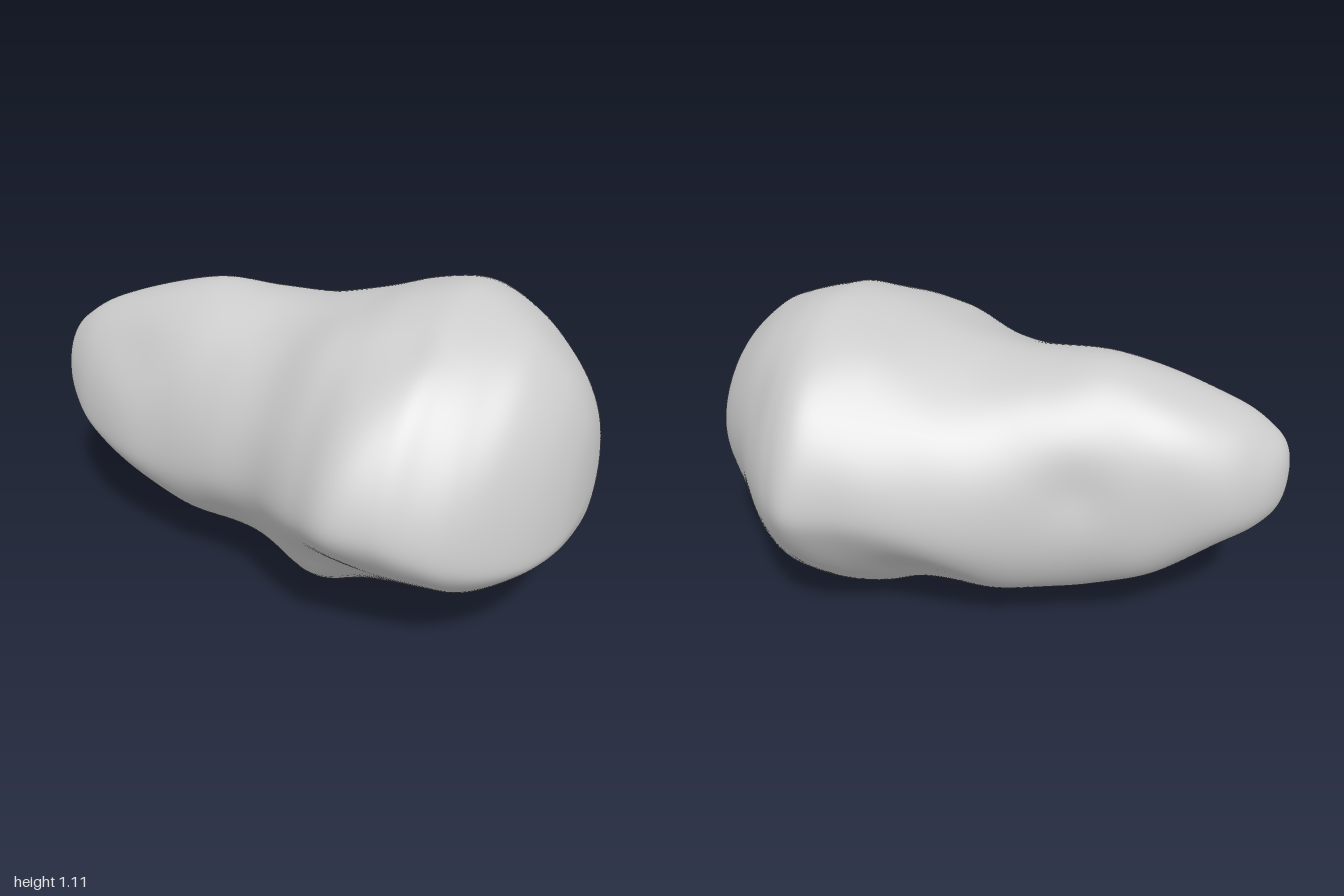
import * as THREE from 'three';

const { lerp, smoothstep } = THREE.MathUtils;

// Cross-sections along the long axis:
// x, top y, bottom y, front z, back z, z of crest, z of keel, y of front ridge
const STATIONS = [
  [-1.0, 0.63, 0.63, 0, 0, 0, 0, 0.63],
  [-0.98, 0.735, 0.52, 0.09, -0.095, 0, 0, 0.59],
  [-0.91, 0.805, 0.44, 0.165, -0.185, 0, 0, 0.52],
  [-0.8, 0.872, 0.37, 0.24, -0.263, -0.01, 0, 0.47],
  [-0.6, 0.955, 0.225, 0.323, -0.34, -0.03, 0, 0.45],
  [-0.4, 0.998, 0.148, 0.373, -0.38, -0.05, 0, 0.45],
  [-0.2, 0.99, 0.108, 0.42, -0.455, -0.05, 0, 0.47],
  [0.0, 0.998, 0.06, 0.475, -0.545, -0.04, -0.02, 0.5],
  [0.2, 1.045, 0.04, 0.605, -0.605, -0.03, -0.06, 0.53],
  [0.35, 1.095, 0.008, 0.685, -0.65, -0.03, -0.13, 0.55],
  [0.5, 1.125, 0.0, 0.665, -0.695, -0.03, -0.15, 0.54],
  [0.6, 1.11, 0.03, 0.625, -0.64, -0.04, -0.15, 0.5],
  [0.7, 1.07, 0.085, 0.58, -0.535, -0.02, -0.13, 0.46],
  [0.8, 1.015, 0.185, 0.5, -0.41, 0.02, -0.09, 0.43],
  [0.9, 0.92, 0.28, 0.375, -0.29, 0.02, -0.05, 0.42],
  [0.96, 0.81, 0.355, 0.255, -0.205, 0.01, -0.02, 0.44],
  [0.99, 0.69, 0.43, 0.13, -0.115, 0, 0, 0.49],
  [1.0, 0.54, 0.54, 0, 0, 0, 0, 0.54],
];
const LAST = STATIONS.length - 1;

// Lumps (positive) and dents (negative): x, y, z, radius, amount
const FEATURES = [
  [0.18, 0.16, 0.3, 0.16, 0.065],
  [0.33, 0.36, 0.5, 0.12, -0.015],
  [-0.15, 0.3, 0.35, 0.15, -0.02],
  [-0.6, 0.78, 0.2, 0.14, -0.02],
  [-0.12, 0.95, 0.12, 0.1, -0.01],
  [0.18, 0.94, 0.28, 0.16, 0.025],
  [0.47, 1.0, 0.25, 0.08, -0.015],
  [0.66, 0.85, -0.4, 0.14, -0.015],
  [0.1, 0.3, -0.4, 0.18, -0.03],
  [-0.36, 0.65, -0.4, 0.12, -0.025],
];

// Past each end the neighbouring section is flipped over, which rounds the tip
function station(k) {
  if (k >= 0 && k <= LAST) return STATIONS[k];
  const [x, top, bottom, front, back, ...rest] = STATIONS[k < 0 ? 1 : LAST - 1];
  return [x, bottom, top, back, front, ...rest];
}

function catmull(a, b, c, d, t) {
  return 0.5 * (2 * b + (c - a) * t + (2 * a - 5 * b + 4 * c - d) * t * t
    + (3 * b - a - 3 * c + d) * t * t * t);
}

function section(u) {
  const i = Math.min(Math.floor(u), LAST - 1);
  const [a, b, c, d] = [i - 1, i, i + 1, i + 2].map(station);
  return b.map((_, k) => catmull(a[k], b[k], c[k], d[k], u - i));
}

// A point on a cross-section: four superellipse quarters, whose fullness
// changes from the narrow end to the shoulder to the blunt end
function sectionPoint([x, top, bottom, front, back, crest, keel, ridge], angle) {
  const c = Math.cos(angle), s = Math.sin(angle);
  const big = smoothstep(x, -0.4, 0.4);
  const [narrow, shoulder, blunt] = s > 0
    ? (c > 0 ? [1.9, 1.7, 1.75] : [2.05, 1.9, 1.9])
    : (c > 0 ? [1.85, 1.4, 1.5] : [2.25, 1.28, 1.85]);
  const n = lerp(lerp(narrow, shoulder, big), blunt, smoothstep(x, 0.5, 0.8));
  const C = Math.abs(c) ** (2 / n), S = Math.abs(s) ** (2 / n);
  const mid = s > 0 ? crest : keel;
  const backRidge = bottom + (top - bottom) * lerp(0.42, 0.53, big);
  const y0 = c > 0 ? ridge : backRidge;
  return new THREE.Vector3(x, y0 + ((s > 0 ? top : bottom) - y0) * S,
    mid + ((c > 0 ? front : back) - mid) * C);
}

// Push a point away from or toward the long axis, plus faint surface unevenness
function sculpt(p) {
  const out = new THREE.Vector3(0, p.y - 0.58, p.z);
  const reach = out.length();
  out.normalize();
  let push = 0.004 * Math.sin(9 * p.x + 5 * p.z) * Math.sin(8 * p.y - 4 * p.x + 1)
    + 0.003 * Math.sin(15 * p.z + 6 * p.y) * Math.cos(13 * p.x + 2);
  for (const [x, y, z, r, amount] of FEATURES) {
    const d2 = (p.x - x) ** 2 + (p.y - y) ** 2 + (p.z - z) ** 2;
    push += amount * Math.exp(-d2 / (r * r));
  }
  return p.addScaledVector(out, push * Math.min(1, reach * 4));
}

function rockGeometry(rings, sides) {
  const points = [];
  for (let i = 1; i < rings; i++) {
    const row = section(i / rings * LAST);
    let ring = [];
    for (let j = 0; j < sides; j++) ring.push(sectionPoint(row, j / sides * Math.PI * 2));
    // Soften the ridges where the quarters meet
    for (let pass = 0; pass < 16; pass++) {
      ring = ring.map((p, j) => p.clone().multiplyScalar(2)
        .add(ring[(j + 1) % sides]).add(ring[(j + sides - 1) % sides]).divideScalar(4));
    }
    points.push(...ring.map(sculpt));
  }
  const tip = points.push(new THREE.Vector3(-1, 0.63, 0)) - 1;
  const butt = points.push(new THREE.Vector3(1, 0.54, 0)) - 1;
  const index = [];
  const lastRing = (rings - 2) * sides;
  for (let j = 0; j < sides; j++) {
    const k = (j + 1) % sides;
    for (let i = 0; i < rings - 2; i++) {
      const a = i * sides + j, b = i * sides + k;
      index.push(a, a + sides, b, b, a + sides, b + sides);
    }
    index.push(tip, j, k, butt, lastRing + k, lastRing + j);
  }
  const geometry = new THREE.BufferGeometry().setFromPoints(points);
  geometry.setIndex(index);

  // Stand it on the ground, centred
  geometry.computeBoundingBox();
  const { min, max } = geometry.boundingBox;
  geometry.translate(-(min.x + max.x) / 2, -min.y, -(min.z + max.z) / 2);
  geometry.computeVertexNormals();
  return geometry;
}

export function createModel() {
  const group = new THREE.Group();
  group.name = 'asteroid';
  const rock = new THREE.Mesh(rockGeometry(153, 128), new THREE.MeshStandardMaterial({ color: 0xcccccc }));
  rock.name = 'rockBody';
  group.add(rock);
  return group;
}
